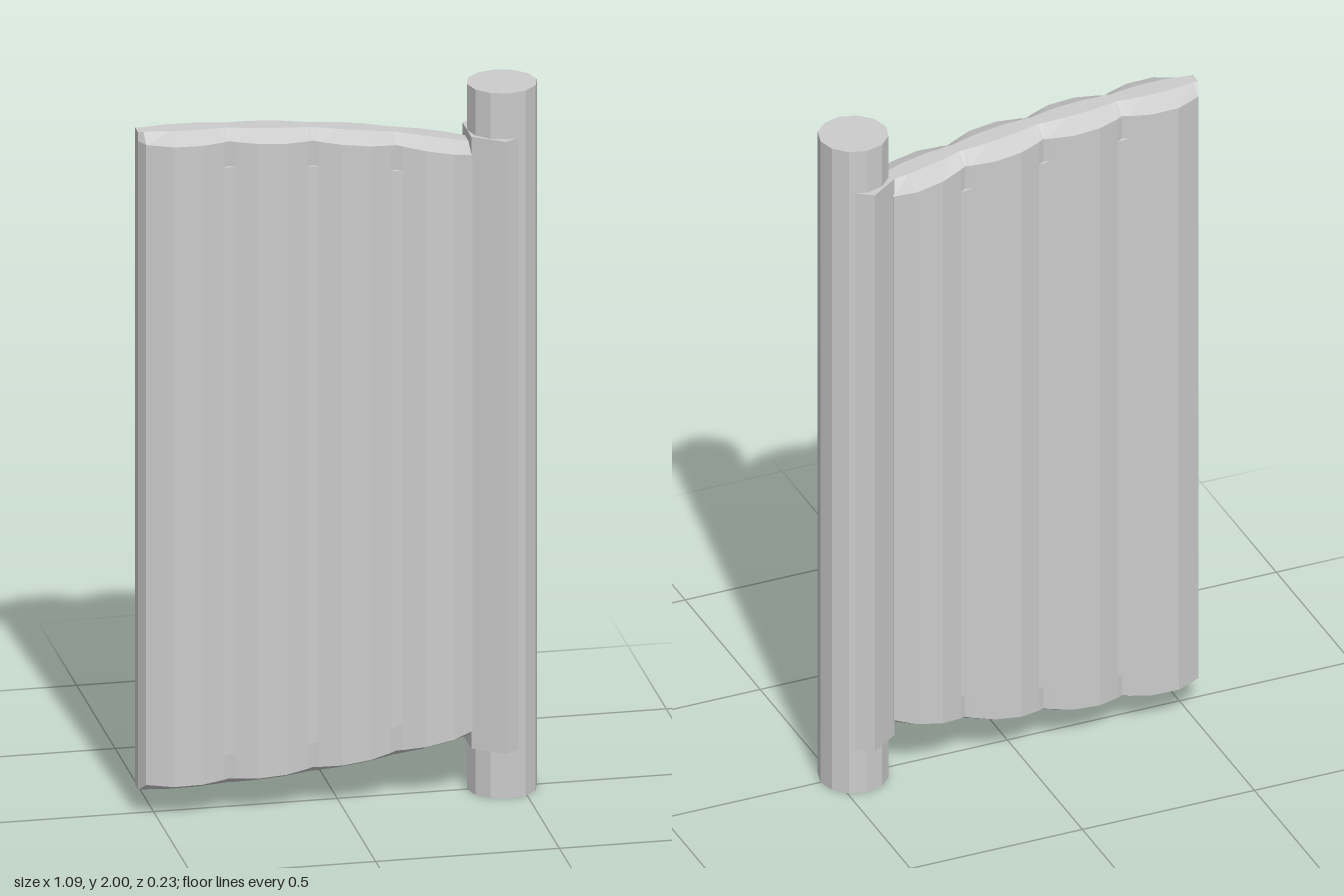
import * as THREE from 'three';

const material = () => new THREE.MeshStandardMaterial({ color: 0xcccccc, flatShading: true });

// Padded panel: cross-sections lofted along x, with fluted faces and curved ends
function panelGeometry() {
  const SLIT = 1; // marks a groove bottom that is cut deeper near the ends
  const stations = [[-0.545, 0.018], [-0.53, 0.053], [-0.46, 0.086]]; // [x, half depth, slit]
  for (let i = 0; i < 4; i++) {
    const c = -0.42 + i * 0.228;
    if (i > 0) stations.push([c - 0.038, 0.086]);
    stations.push([c + 0.038, 0.086]);
    if (i < 3) {
      const g = c + 0.114;
      stations.push([g - 0.016, 0.066], [g, 0.058, SLIT], [g + 0.016, 0.066]);
    }
  }
  stations.push([0.36, 0.061]);

  const midY = 1.0025, zOff = -0.0045;
  const section = ([x, w, slit], i) => {
    const h = 0.9325 - 0.09 * Math.pow((x + 0.545) / 0.9, 2.35); // ridge half height
    const r = i === 0 ? w : w * 0.33; // half width of the flat ridge
    const inner = slit ? 0.066 : w; // depth away from the slits
    const e = h - 0.025;
    const side = [[r, h], [w, e], [w, e - 0.07], [inner, e - 0.071]];
    const front = [...side, ...side.map(([z, y]) => [z, -y]).reverse()];
    const back = front.map(([z, y]) => [-z, y]).reverse();
    return [...front, ...back].map(([z, y]) => [x, midY + y, zOff + z]);
  };

  const rings = stations.map(section);
  const n = rings[0].length, last = rings.length - 1;
  const index = [];
  for (let i = 0; i < last; i++) {
    for (let j = 0; j < n; j++) {
      const a = i * n + j, b = i * n + (j + 1) % n;
      index.push(a, b, a + n, b, b + n, a + n);
    }
  }
  for (let j = 1; j < n - 1; j++) {
    index.push(0, j + 1, j);
    index.push(last * n, last * n + j, last * n + j + 1);
  }
  const geometry = new THREE.BufferGeometry();
  geometry.setAttribute('position', new THREE.Float32BufferAttribute(rings.flat(2), 3));
  geometry.setIndex(index);
  geometry.computeVertexNormals();
  return geometry;
}

export function createModel() {
  const group = new THREE.Group();
  const add = (name, geometry, x, y, z) => {
    const mesh = new THREE.Mesh(geometry, material());
    mesh.name = name;
    mesh.position.set(x, y, z);
    group.add(mesh);
    return mesh;
  };

  // Twelve-sided upright pole
  add('pole', new THREE.CylinderGeometry(0.095, 0.095, 2, 12), 0.448, 1, 0);

  // Six-sided sleeve around the pole, narrower along x
  const sleeve = new THREE.CylinderGeometry(0.116, 0.116, 1.735, 6);
  sleeve.scale(0.083 / (0.116 * Math.sin(Math.PI / 3)), 1, 1);
  add('sleeve', sleeve, 0.436, 1.0025, -0.001);

  // Fluted panel hanging from the sleeve
  add('panel', panelGeometry(), 0, 0, 0);

  return group;
}
